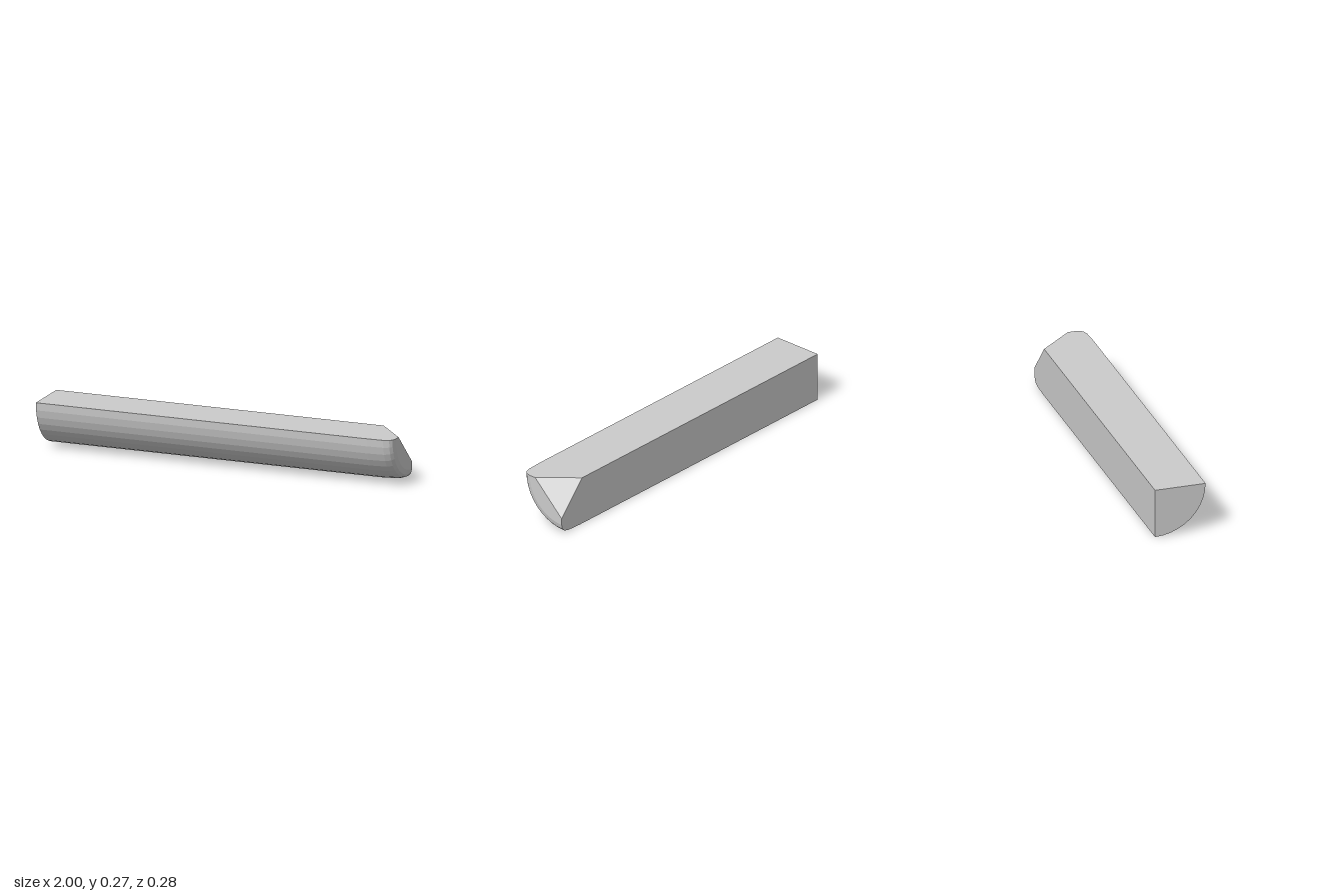
import * as THREE from 'three';
import { ConvexGeometry } from 'three/addons/geometries/ConvexGeometry.js';

const TOP = 0.267, BACK = -0.138;   // flat top and flat back meet at this edge
const RZ = 0.276, RY = 0.267;       // quarter-round radii
const SIDES = 10;

export function createModel() {
  const group = new THREE.Group();
  const points = [];

  // quarter-round cross-sections: [x, scale], softening towards the tip
  const stations = [[-1, 1], [0.86, 1], [0.95, 0.985], [0.98, 0.95], [0.993, 0.9], [1, 0.8]];
  for (const [x, s] of stations) {
    for (let i = 0; i <= SIDES; i++) {
      const a = (i / SIDES) * Math.PI / 2;
      points.push(new THREE.Vector3(x, TOP - Math.sin(a) * RY * s, BACK + Math.cos(a) * RZ * s));
    }
  }

  // square corner edge, with a slanted cut across the corner at the tip
  points.push(
    new THREE.Vector3(-1, TOP, BACK),
    new THREE.Vector3(0.84, TOP, BACK),
    new THREE.Vector3(1, TOP, 0.045),
    new THREE.Vector3(1, 0.09, BACK)
  );

  const bar = new THREE.Mesh(
    new ConvexGeometry(points),
    new THREE.MeshStandardMaterial({ color: 0xcccccc, flatShading: true })
  );
  bar.name = 'quarterRoundBar';
  group.add(bar);
  return group;
}
